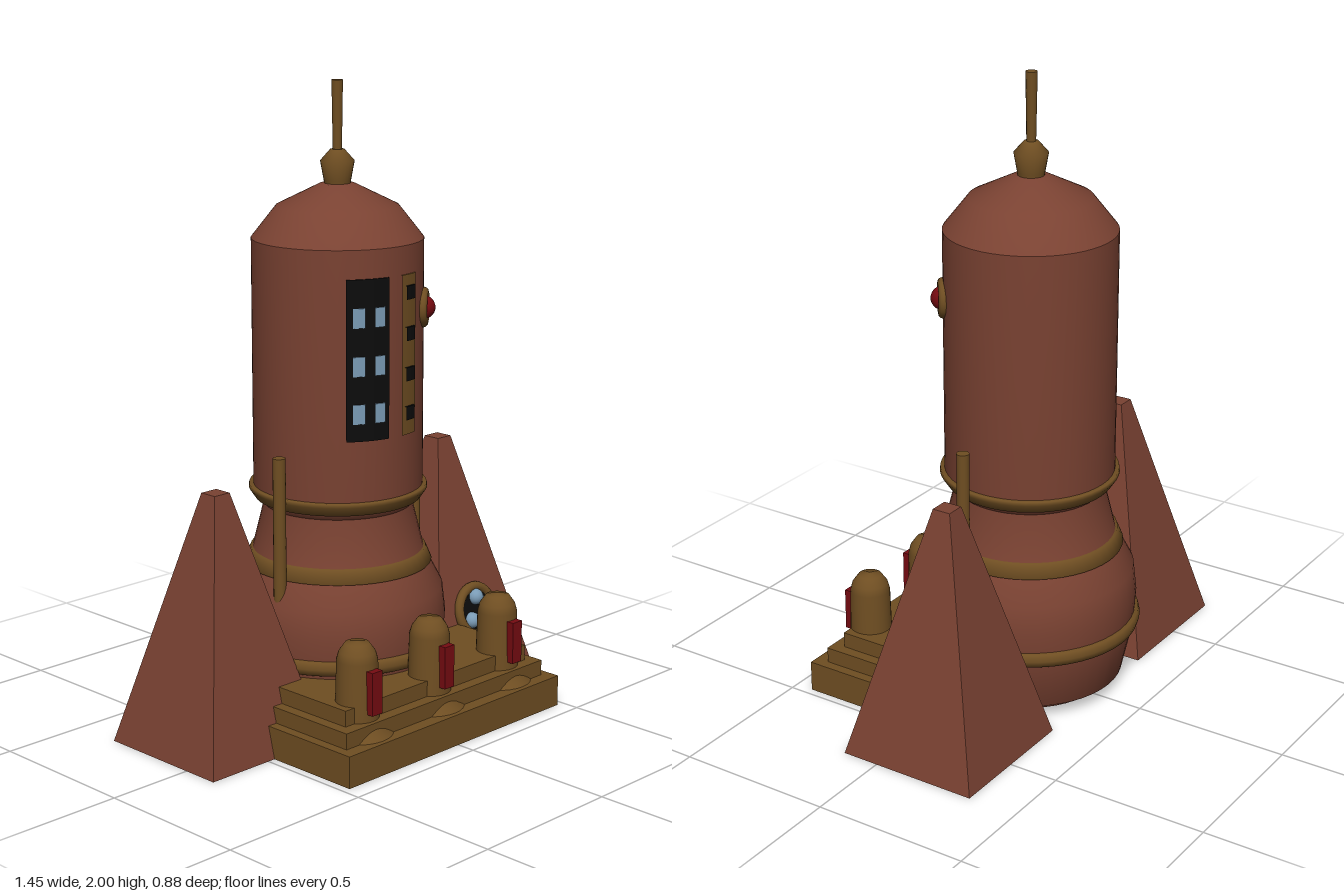
import * as THREE from 'three';

const mat = (name, color, side = THREE.FrontSide) => {
  const m = new THREE.MeshStandardMaterial({ color, side });
  m.name = name;
  return m;
};

export function createModel() {
  const clay = mat('redBrownClay', 0x7a4232);
  const brass = mat('agedBrass', 0x6f4e22);
  const black = mat('black', 0x0c0c0c);
  const glass = mat('paleBlueGlass', 0x7a9bb5);
  const red = mat('darkRed', 0x760b11);

  const model = new THREE.Group();
  model.name = 'rocketTower';

  const add = (parent, name, geometry, material, x = 0, y = 0, z = 0) => {
    const mesh = new THREE.Mesh(geometry, material);
    mesh.name = name;
    mesh.position.set(x, y, z);
    parent.add(mesh);
    return mesh;
  };
  const group = (parent, name, x, y, z) => {
    const g = new THREE.Group();
    g.name = name;
    g.position.set(x, y, z);
    parent.add(g);
    return g;
  };
  const lathe = (pts, seg = 48) =>
    new THREE.LatheGeometry(pts.map(([r, y]) => new THREE.Vector2(r, y)), seg);

  // Main tower, turned around its own axis
  const R = 0.267;
  const tower = group(model, 'tower', 0, 0, -0.083);
  add(tower, 'lowerBody', lathe([[0, 0.01], [0.25, 0.015], [0.3, 0.05], [0.335, 0.21],
    [0.342, 0.32], [0.332, 0.41], [0.29, 0.49], [0.272, 0.53], [0.235, 0.68], [0.25, 0.72]]), clay);
  add(tower, 'upperBody', lathe([[0.235, 0.68], [R, 0.72], [R, 1.52]]), clay);
  add(tower, 'dome', lathe([[R, 1.52], [0.19, 1.618], [0.055, 1.685], [0, 1.69]]), clay);

  // Brass bands
  add(tower, 'bellyBand', lathe([[0.33, 0.21], [0.349, 0.215], [0.355, 0.235], [0.349, 0.256], [0.33, 0.26]]), brass);
  add(tower, 'waistBand', lathe([[0.27, 0.488], [0.297, 0.49], [0.278, 0.534], [0.25, 0.535]]), brass);
  add(tower, 'neckBand', lathe([[0.23, 0.695], [0.262, 0.7], [0.282, 0.73], [0.28, 0.742], [0.26, 0.743]]), brass);

  // Finial and antenna
  add(tower, 'finial', lathe([[0.04, 1.68], [0.042, 1.695], [0.053, 1.755], [0.022, 1.79], [0, 1.79]], 24), brass);
  add(tower, 'antenna', new THREE.CylinderGeometry(0.018, 0.014, 0.24, 12), brass, 0, 1.88, 0);

  // Curved plates on the tower wall, given by front x and y limits
  const plate = (name, x0, x1, y0, y1, r, material) => {
    const a = Math.asin(x0 / R), b = Math.asin(x1 / R);
    const pts = [[R - 0.01, y0], [r, y0], [r, y1], [R - 0.01, y1]].map(p => new THREE.Vector2(...p));
    const geo = new THREE.LatheGeometry(pts, 8, a, b - a).toNonIndexed();
    geo.computeVertexNormals();
    add(tower, name, geo, material);
  };
  plate('windowPanel', -0.17, -0.046, 0.935, 1.432, R + 0.005, black);
  for (const y of [1.02, 1.167, 1.315])
    for (const x of [-0.138, -0.078])
      plate('window', x - 0.016, x + 0.016, y - 0.03, y + 0.03, R + 0.009, glass);
  plate('brassStrip', 0.005, 0.071, 0.935, 1.432, R + 0.005, brass);
  for (const y of [1.003, 1.125, 1.25, 1.377])
    plate('stripStud', 0.017, 0.059, y - 0.021, y + 0.021, R + 0.012, black);

  // Red lamp in a brass ring
  const lamp = group(tower, 'wallLamp', 0.165, 1.305, 0.21);
  lamp.rotation.y = 0.666;
  add(lamp, 'lampRing', new THREE.TorusGeometry(0.048, 0.015, 12, 28), brass);
  add(lamp, 'lampLens', new THREE.SphereGeometry(0.037, 20, 14), red);

  // Side rods and pyramid buttresses
  for (const s of [-1, 1]) {
    add(model, 'sideRod', new THREE.CylinderGeometry(0.02, 0.02, 0.48, 16), brass, s * 0.3, 0.64, -0.035);
    const geo = new THREE.CylinderGeometry(0.03 * Math.SQRT2, 0.23 * Math.SQRT2, 0.795, 4)
      .rotateY(Math.PI / 4).toNonIndexed();
    geo.computeVertexNormals();
    add(model, 'pyramid', geo, clay, s * 0.493, 0.3975, -0.11);
  }

  // Stepped front platform: half width, bottom, top, front
  for (const [w, y0, y1, front] of [[0.475, 0, 0.1, 0.44], [0.443, 0.1, 0.15, 0.396], [0.407, 0.15, 0.2, 0.356]])
    add(model, 'platformStep', new THREE.BoxGeometry(w * 2, y1 - y0, front), brass, 0, (y0 + y1) / 2, front / 2);

  // Three domed posts with flared feet and red slots
  for (const x of [-0.317, 0, 0.317]) {
    const post = group(model, 'post', x, 0, 0.315);
    add(post, 'postFoot', lathe([[0.11, 0.1], [0.06, 0.15], [0.05, 0.2]], 28), brass);
    add(post, 'postBody', lathe([[0.068, 0.14], [0.063, 0.33], [0.056, 0.355], [0.037, 0.382], [0, 0.388]], 28), brass);
    add(post, 'postSlot', new THREE.BoxGeometry(0.042, 0.135, 0.03), red, 0, 0.243, 0.07);
  }

  // Porthole leaning on the left pyramid
  const port = group(model, 'porthole', 0.492, 0.23, 0.07);
  port.rotation.x = -0.247;
  add(port, 'portRing', new THREE.TorusGeometry(0.079, 0.016, 12, 32), brass);
  add(port, 'portBack', new THREE.CylinderGeometry(0.076, 0.076, 0.012, 32).rotateX(Math.PI / 2), black);
  for (const [x, y] of [[0, 0.045], [-0.035, -0.027], [0.035, -0.027]])
    add(port, 'portLens', new THREE.SphereGeometry(0.027, 18, 12), glass, x, y, 0.008);

  return model;
}
